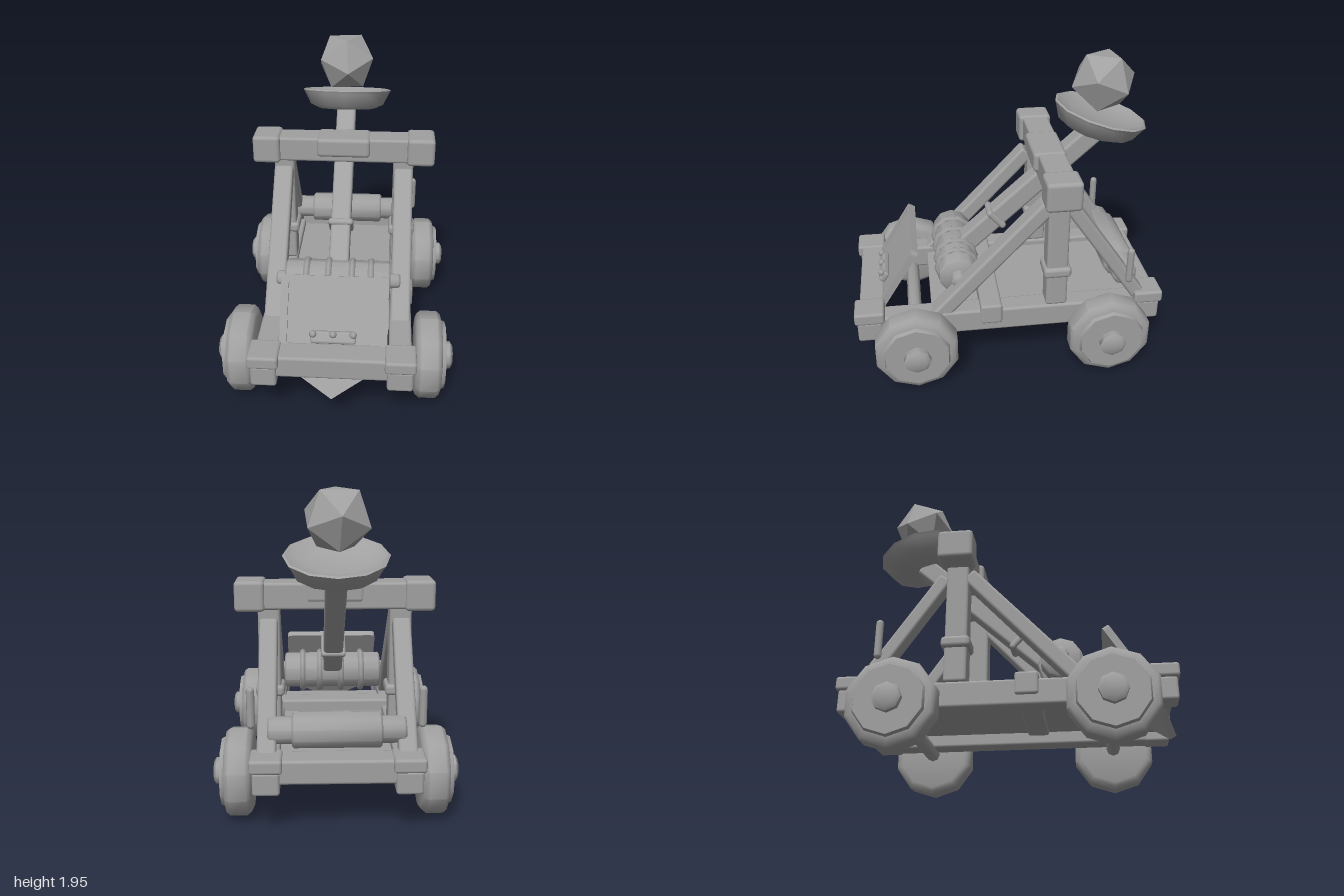
import * as THREE from 'three';
import { toCreasedNormals } from 'three/addons/utils/BufferGeometryUtils.js';
import { RoundedBoxGeometry } from 'three/addons/geometries/RoundedBoxGeometry.js';

export function createModel() {
  const root = new THREE.Group();
  const grey = new THREE.MeshStandardMaterial({ color: 0xa0a0a0 });
  grey.name = 'plain grey';

  function add(name, geo, x = 0, y = 0, z = 0, parent = root) {
    const mesh = new THREE.Mesh(geo, grey);
    mesh.name = name;
    mesh.position.set(x, y, z);
    parent.add(mesh);
    return mesh;
  }
  // Softly bevelled block from its limits on each axis
  function block(name, x0, x1, y0, y1, z0, z1, r = 0.018) {
    const geo = new RoundedBoxGeometry(x1 - x0, y1 - y0, z1 - z0, 2, r);
    return add(name, geo, (x0 + x1) / 2, (y0 + y1) / 2, (z0 + z1) / 2);
  }
  // Sloping beam between two [y, z] points
  function beam(name, x, [y0, z0], [y1, z1], width, depth) {
    const geo = new RoundedBoxGeometry(width, Math.hypot(y1 - y0, z1 - z0), depth, 2, 0.02);
    const mesh = add(name, geo, x, (y0 + y1) / 2, (z0 + z1) / 2);
    mesh.rotation.x = Math.atan2(z1 - z0, y1 - y0);
    return mesh;
  }
  // Turned piece: profile of [radius, height] pairs, bottom to top
  function turned(profile, sides) {
    const points = profile.map(([r, h]) => new THREE.Vector2(r, h));
    return toCreasedNormals(new THREE.LatheGeometry(points, sides), 0.85);
  }
  // Turned piece lying along x
  const lying = (profile, sides) => turned(profile, sides).rotateY(Math.PI / 2).rotateZ(-Math.PI / 2);
  const rod = (r, half, sides = 10) =>
    lying([[0, -half], [r - 0.012, -half], [r, -half + 0.012], [r, half - 0.012], [r - 0.012, half], [0, half]], sides);

  // Wheels and axles
  const wheelGeo = lying([[0, -0.095], [0.225, -0.095], [0.25, -0.085], [0.27, -0.06], [0.27, 0.04],
    [0.25, 0.065], [0.215, 0.072], [0.205, 0.095], [0, 0.095]], 10);
  const hubGeo = lying([[0, -0.06], [0.085, -0.06], [0.085, 0.035], [0.06, 0.05], [0, 0.05]], 8);
  for (const z of [-0.62, 0.62]) {
    add('axle', rod(0.046, 0.6, 8), 0, 0.28, z);
    for (const s of [-1, 1]) {
      const wheel = new THREE.Group();
      wheel.name = 'wheel';
      wheel.position.set(s * 0.59, 0.28, z);
      if (s < 0) wheel.rotation.y = Math.PI;
      add('tyre', wheelGeo, 0, 0, 0, wheel);
      add('hub', hubGeo, 0.095, 0, 0, wheel);
      root.add(wheel);
    }
  }

  // Chassis
  block('floor', -0.34, 0.34, 0.365, 0.405, -0.83, 0.51, 0.01);
  block('middleCrossBeam', -0.49, 0.49, 0.345, 0.485, 0.06, 0.2);
  for (const s of [-1, 1]) {
    const c = s * 0.405;
    block('endCrossBeam', -0.36, 0.36, 0.34, 0.485, s * 0.89 - 0.08, s * 0.89 + 0.08);
    block('sideRail', c - 0.07, c + 0.07, 0.285, 0.445, -0.975, 0.975);
    for (const z of [-0.905, 0.905]) {
      block('cornerCap', c - 0.093, c + 0.093, 0.415, 0.498, z - 0.095, z + 0.095);
      block('cornerBlock', c - 0.078, c + 0.078, 0.28, 0.42, z - 0.08, z + 0.08);
    }

    // Upright frame
    block('post', c - 0.068, c + 0.068, 0.445, 1.23, -0.363, -0.225);
    block('postBand', c - 0.09, c + 0.09, 0.66, 0.732, -0.383, -0.205, 0.025);
    beam('frontBrace', c, [0.40, 0.48], [1.16, -0.23], 0.126, 0.1);
    beam('rearBrace', c, [0.44, -0.86], [1.15, -0.37], 0.112, 0.09);
    block('topBeamEnd', s * 0.52 - 0.092, s * 0.52 + 0.092, 1.205, 1.395, -0.402, -0.182, 0.025);

    // Lever pin
    add('leverPin', new THREE.CapsuleGeometry(0.024, 0.205, 3, 8), s * 0.497, 0.725, -0.757);
  }
  block('topBeam', -0.5, 0.5, 1.215, 1.382, -0.383, -0.208);
  block('stopPad', -0.178, 0.178, 1.26, 1.39, -0.39, -0.178, 0.025);

  // Winch with rope rings
  add('winchDrum', rod(0.128, 0.335), 0, 0.625, 0.325);
  add('winchShaft', rod(0.05, 0.4, 8), 0, 0.625, 0.325);
  for (const x of [-0.2, -0.06, 0.09, 0.21])
    add('ropeRing', new THREE.TorusGeometry(0.127, 0.023, 6, 10).rotateY(Math.PI / 2), x, 0.625, 0.325);

  // Rear roller
  add('rearRoller', rod(0.108, 0.26), 0, 0.59, -0.76);
  add('rearRollerShaft', rod(0.082, 0.4), 0, 0.59, -0.76);

  // Throwing arm
  const arm = beam('throwingArm', 0, [0.69, 0.25], [1.48, -0.62], 0.13, 0.13);
  const collar = add('armCollar', new RoundedBoxGeometry(0.165, 0.045, 0.165, 2, 0.02), 0, 0.875, 0.045);
  collar.rotation.x = arm.rotation.x;

  // Cup and stone
  const cup = add('cup', turned([[0, -0.125], [0.2, -0.125], [0.255, -0.1], [0.295, -0.02], [0.308, 0],
    [0.295, 0.008], [0.265, -0.01], [0.18, -0.035], [0, -0.045]], 12), 0, 1.585, -0.634);
  cup.rotation.x = -0.276;
  const tilt = Math.atan(2 / (1 + Math.sqrt(5)));
  const stoneGeo = new THREE.IcosahedronGeometry(0.208, 0).rotateX(-tilt);
  const stone = add('stone', stoneGeo, -0.005, 1.79, -0.64);
  stone.rotation.set(0.15, 0.1, 0);

  // Sloping front shield with a raised rim
  const shield = new THREE.Group();
  shield.name = 'shield';
  shield.position.set(0, 0.2, 0.975);
  shield.rotation.x = -0.55;
  root.add(shield);
  const outline = () => {
    const s = new THREE.Shape();
    s.moveTo(0, 0);
    s.lineTo(0.325, 0.215);
    s.lineTo(0.325, 0.7);
    s.quadraticCurveTo(0.325, 0.73, 0.295, 0.73);
    s.lineTo(-0.295, 0.73);
    s.quadraticCurveTo(-0.325, 0.73, -0.325, 0.7);
    s.lineTo(-0.325, 0.215);
    s.closePath();
    return s;
  };
  const slab = (shape, depth) => new THREE.ExtrudeGeometry(shape, { depth, bevelEnabled: false, curveSegments: 4 });
  add('shieldPlate', slab(outline(), 0.03), 0, 0, -0.02, shield);
  const rim = outline();
  const hole = new THREE.Path();
  hole.moveTo(-0.28, 0.3);
  hole.lineTo(-0.28, 0.67);
  hole.quadraticCurveTo(-0.28, 0.695, -0.255, 0.695);
  hole.lineTo(0.255, 0.695);
  hole.quadraticCurveTo(0.28, 0.695, 0.28, 0.67);
  hole.lineTo(0.28, 0.3);
  hole.closePath();
  rim.holes.push(hole);
  add('shieldRim', slab(rim, 0.015), 0, 0, 0.01, shield);

  // Latch on the shield
  add('latch', new RoundedBoxGeometry(0.275, 0.075, 0.05, 2, 0.018), 0, 0.365, 0.03, shield);
  for (const x of [-0.12, 0, 0.12])
    add('latchStud', new THREE.SphereGeometry(0.022, 8, 6), x, 0.385, 0.06, shield);

  return root;
}
